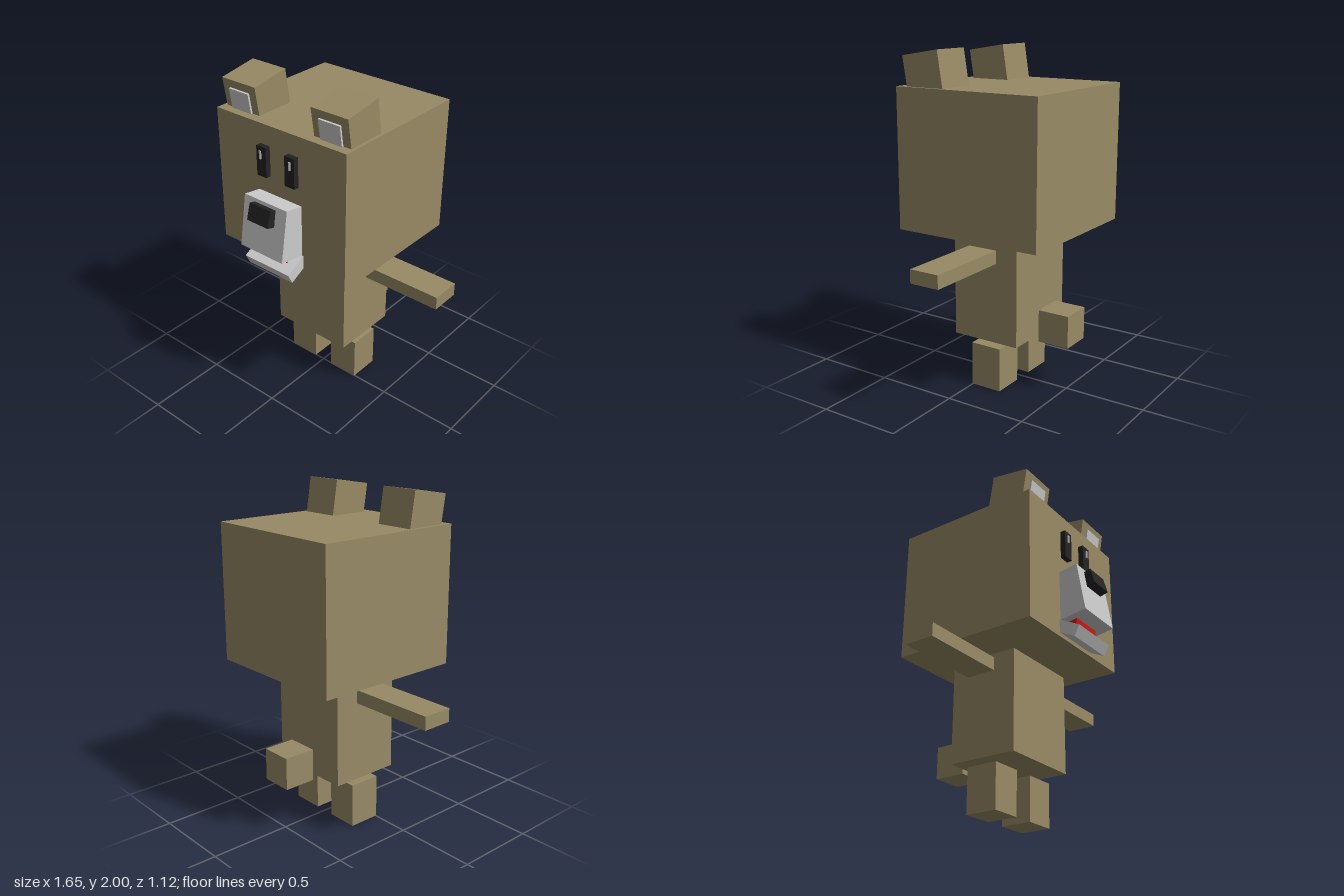
import * as THREE from 'three';

const FUR = new THREE.MeshStandardMaterial({ color: 0x988a65 });
const GREY = new THREE.MeshStandardMaterial({ color: 0xcccccc });
const BLACK = new THREE.MeshStandardMaterial({ color: 0x222222 });
const RED = new THREE.MeshStandardMaterial({ color: 0xda1a10 });

// Box by size and centre, tilted about x
function box(parent, name, material, size, centre, tilt = 0) {
  const mesh = new THREE.Mesh(new THREE.BoxGeometry(...size), material);
  mesh.name = name;
  mesh.position.set(...centre);
  mesh.rotation.x = tilt;
  parent.add(mesh);
  return mesh;
}

export function createModel() {
  const model = new THREE.Group();
  model.name = 'blockBear';

  // Trunk and tail
  box(model, 'body', FUR, [0.526, 0.612, 0.432], [0, 0.611, -0.094]);
  box(model, 'tail', FUR, [0.196, 0.196, 0.196], [0, 0.4, -0.458]);

  // Head
  const head = new THREE.Group();
  head.name = 'headGroup';
  model.add(head);
  box(head, 'head', FUR, [0.926, 0.83, 0.928], [0, 1.375, -0.094]);

  // Muzzle
  box(head, 'snout', GREY, [0.312, 0.311, 0.2], [0, 1.23, 0.413], -0.16);
  box(head, 'nose', BLACK, [0.154, 0.1, 0.06], [0, 1.334, 0.515], -0.27);
  box(head, 'jaw', GREY, [0.33, 0.071, 0.2], [0, 1.012, 0.394], 0.48);
  box(head, 'tongue', RED, [0.21, 0.1, 0.09], [0, 1.06, 0.401], 0.17);

  // Paired parts
  for (const [side, s] of [['left', 1], ['right', -1]]) {
    const ear = box(head, side + 'Ear', FUR, [0.246, 0.246, 0.246], [s * 0.32, 1.859, 0.195], 0.16);
    box(ear, side + 'InnerEar', GREY, [0.144, 0.147, 0.024], [0, 0, 0.123]);
    box(head, side + 'Eye', BLACK, [0.069, 0.18, 0.05], [s * 0.102, 1.58, 0.378]);
    box(head, side + 'EyeGlint', GREY, [0.012, 0.048, 0.02], [s * 0.106, 1.621, 0.4]);
    box(model, side + 'Arm', FUR, [0.536, 0.08, 0.185], [s * 0.556, 0.84, -0.093]);
    box(model, side + 'Leg', FUR, [0.196, 0.268, 0.196], [s * 0.163, 0.134, -0.094]);
  }
  return model;
}
